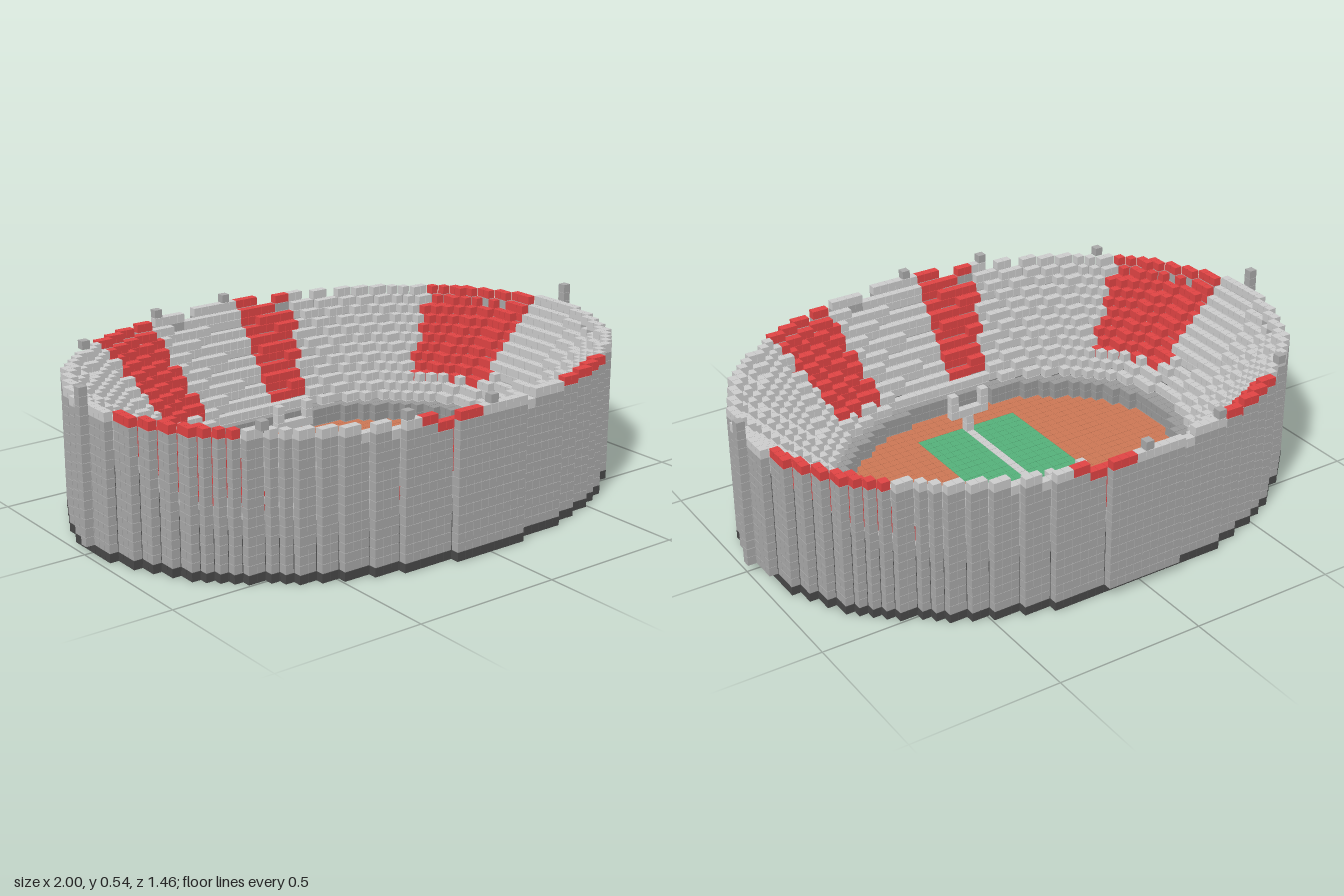
import * as THREE from 'three';
import { mergeGeometries } from 'three/addons/utils/BufferGeometryUtils.js';

const U = 0.0299;            // block pitch
const S = U * 0.955;         // block size, leaving a fine joint
const A = 32.3, B = 24.2;    // outer half axes of the bowl, in blocks
const TOP = 15;              // highest seat layer

const radius = (i, k) => Math.hypot(i / A, k / B);
const inBowl = (i, k) => radius(i, k) <= 1;

// Visits every block column of the plan
function eachColumn(visit) {
  for (let i = -33; i <= 33; i++) for (let k = -25; k <= 25; k++) visit(i, k, radius(i, k));
}

// Coloured seating sectors, repeated by a half turn
const sectors = [[0.12, 0.55, 0.73], [1.2, 1.5, 0.7], [2.05, 2.4, 0.71]];
function isRedSeat(i, k, r) {
  let angle = Math.atan2(-k, i);
  if (angle < 0) angle += Math.PI;
  return sectors.some(([from, to, inner]) => angle > from && angle < to && r > inner);
}

const seatLayer = (r) => Math.min(TOP, Math.floor(4 + 12 * (r - 0.66) / 0.34));

export function createModel() {
  const model = new THREE.Group();
  model.name = 'stadium';

  const parts = {
    base: { color: 0x484848, cells: [] },
    outerWall: { color: 0xa8a8a8, cells: [] },
    innerWall: { color: 0x9a9a9a, cells: [] },
    greySeats: { color: 0xcccccc, cells: [] },
    redSeats: { color: 0xe04444, cells: [] },
    track: { color: 0xcc7755, cells: [] },
    grass: { color: 0x55b07a, cells: [] },
    midLine: { color: 0xcccccc, cells: [] },
    goals: { color: 0xcccccc, cells: [] },
    masts: { color: 0xa8a8a8, cells: [] },
  };
  const put = (part, i, j, k) => parts[part].cells.push([i, j, k]);

  eachColumn((i, k, r) => {
    // Ground slab
    if (r <= 1 && i < 32 && k > -24) put('base', i, 0, k);
    if (r > 1) return;

    if (r < 0.607) {
      // Pitch and surrounding track
      const onGrass = Math.abs(i) <= 6 && Math.abs(k) <= 10;
      put(!onGrass ? 'track' : i === 0 ? 'midLine' : 'grass', i, 1, k);
    } else if (r < 0.66) {
      // Low wall around the track
      for (let j = 1; j <= 3; j++) put('innerWall', i, j, k);
    } else {
      // Stepped seats
      const top = seatLayer(r);
      const seats = isRedSeat(i, k, r) ? 'redSeats' : 'greySeats';
      put(seats, i, top, k);
      const rim = !inBowl(i + 1, k) || !inBowl(i - 1, k) || !inBowl(i, k + 1) || !inBowl(i, k - 1);
      if (rim) for (let j = 1; j < top; j++) put('outerWall', i, j, k);
      else put(seats, i, top - 1, k);
    }
  });

  for (const side of [-1, 1]) {
    // Goals: stem, crossbar and two uprights
    const k = side * 10;
    for (let j = 2; j <= 3; j++) put('goals', 0, j, k);
    for (let i = -2; i <= 2; i++) put('goals', i, 4, k);
    for (const i of [-2, 2]) for (let j = 5; j <= 6; j++) put('goals', i, j, k);

    // Masts: tall ones at the ends, short ones along the rim
    for (let j = 1; j <= 17; j++) put('masts', side * 33, j, 0);
    for (const [i, z] of [[0, 24], [-10, 23], [-23, 17]]) put('masts', i, 16, side * z);
  }

  const block = new THREE.BoxGeometry(S, S, S);
  for (const [name, { color, cells }] of Object.entries(parts)) {
    const geometry = mergeGeometries(
      cells.map(([i, j, k]) => block.clone().translate(i * U, j * U + S / 2, k * U)));
    const mesh = new THREE.Mesh(geometry, new THREE.MeshStandardMaterial({ color }));
    mesh.name = name;
    model.add(mesh);
  }
  return model;
}
